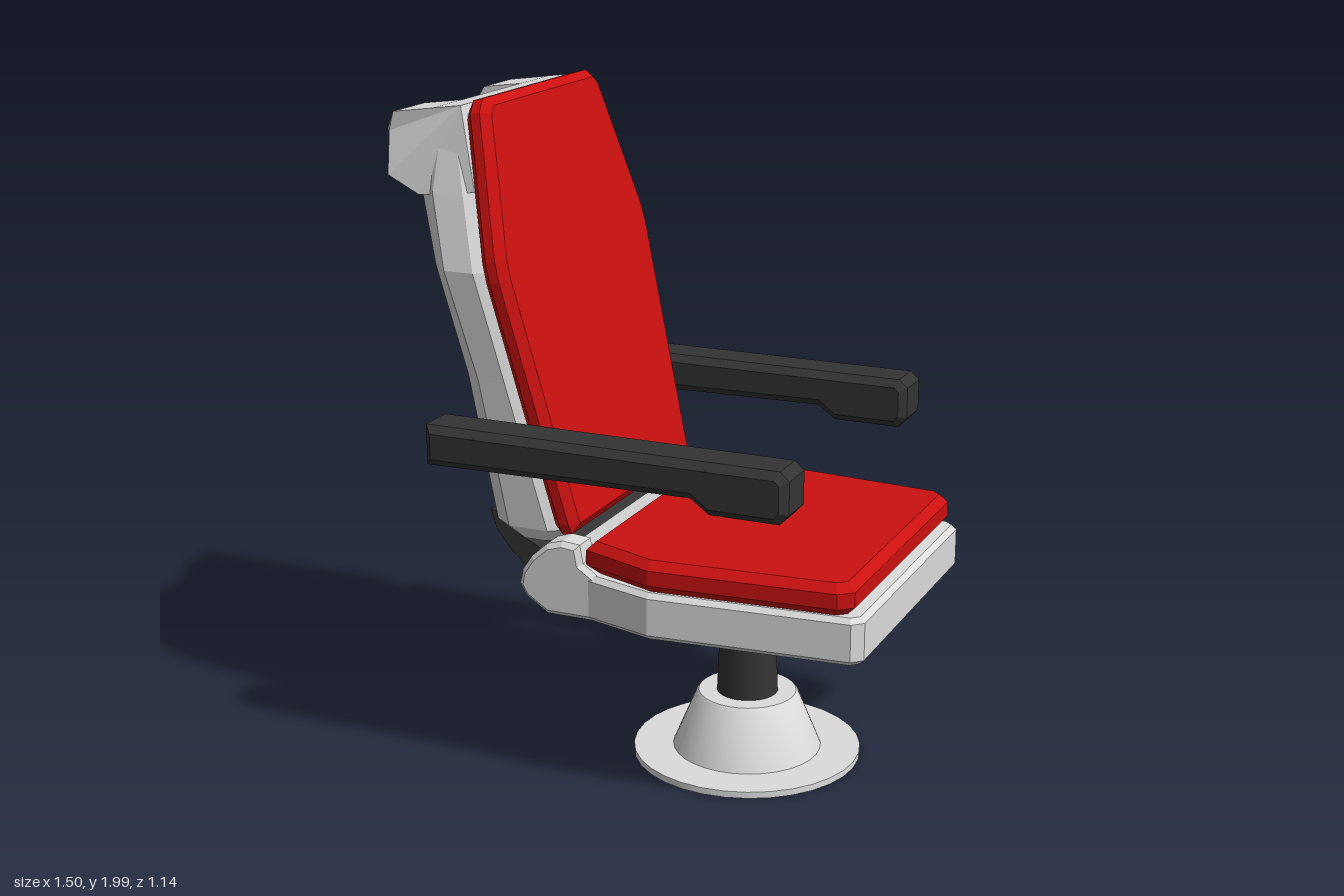
import * as THREE from 'three';
import { toCreasedNormals } from 'three/addons/utils/BufferGeometryUtils.js';

const mat = (name, color) => {
  const m = new THREE.MeshStandardMaterial({ color });
  m.name = name;
  return m;
};

// Extruded outline with a one-step chamfer that stays inside the outline, centred on its depth
function slab(points, depth, bevel) {
  const shape = new THREE.Shape(points.map(([x, y]) => new THREE.Vector2(x, y)));
  return new THREE.ExtrudeGeometry(shape, {
    depth: depth - 2 * bevel, bevelEnabled: bevel > 0, bevelThickness: bevel,
    bevelSize: bevel, bevelOffset: -bevel, bevelSegments: 1,
  }).translate(0, 0, bevel - depth / 2);
}

// Half outline [halfWidth, along] mirrored into a closed outline
const mirrored = (half) => [...half, ...half.slice().reverse().filter(([w]) => w > 0).map(([w, s]) => [-w, s])];

// Flat-faced solid through rings of [x, y, z] with equal point counts; ends closed with fans
function loft(rings) {
  const n = rings[0].length, tris = [];
  for (let r = 0; r < rings.length - 1; r++) {
    for (let i = 0; i < n; i++) {
      const j = (i + 1) % n, a = rings[r], b = rings[r + 1];
      tris.push([a[i], a[j], b[j]], [a[i], b[j], b[i]]);
    }
  }
  const end = rings[rings.length - 1];
  for (let i = 1; i < n - 1; i++) {
    tris.push([rings[0][0], rings[0][i + 1], rings[0][i]], [end[0], end[i], end[i + 1]]);
  }
  // Turn the corners around if the solid came out inside-out
  let volume = 0;
  for (const [a, b, c] of tris) {
    volume += new THREE.Vector3(...a).dot(new THREE.Vector3(...b).cross(new THREE.Vector3(...c)));
  }
  if (volume < 0) tris.forEach((t) => t.reverse());
  const g = new THREE.BufferGeometry();
  g.setAttribute('position', new THREE.Float32BufferAttribute(tris.flat(2), 3));
  g.computeVertexNormals();
  return g;
}

export function createModel() {
  const red = mat('red upholstery', 0xcc1010);
  const light = mat('light grey plastic', 0xdcdcdc);
  const dark = mat('dark grey plastic', 0x333333);
  const group = new THREE.Group();
  const add = (name, geometry, material) => {
    const m = new THREE.Mesh(geometry, material);
    m.name = name;
    group.add(m);
    return m;
  };
  const lathe = (pts, segments) => toCreasedNormals(
    new THREE.LatheGeometry(pts.map(([r, y]) => new THREE.Vector2(r, y)), segments), 0.5);

  // Pedestal: hollow cone with a thin flange, and a tapered post
  add('pedestalBase', lathe([[0.22, 0], [0.345, 0], [0.345, 0.02], [0.225, 0.02], [0.155, 0.19],
    [0.148, 0.198], [0.08, 0.198], [0.08, 0.185], [0.14, 0.185], [0.22, 0]], 32), light).position.x = 0.24;
  add('post', lathe([[0, 0.17], [0.094, 0.17], [0.08, 0.53], [0, 0.53]], 24), dark).position.x = 0.24;

  // Seat pan and cushion, widest a little behind the middle
  const pan = slab([[0.75, 0.42], [0.72, 0.45], [0.13, 0.5], [-0.1, 0.435], [-0.22, 0.425],
    [-0.22, -0.425], [-0.1, -0.435], [0.13, -0.5], [0.72, -0.45], [0.75, -0.42]], 0.14, 0.015);
  add('seatPan', pan.rotateX(-Math.PI / 2), light).position.set(0, 0.59, -0.01);
  const cushion = slab([[0.72, 0.42], [0.68, 0.455], [0.13, 0.5], [-0.1, 0.415],
    [-0.1, -0.415], [0.13, -0.5], [0.68, -0.455], [0.72, -0.42]], 0.095, 0.025);
  add('seatCushion', cushion.rotateX(-Math.PI / 2), red).position.set(0, 0.707, -0.01);

  // Rounded hinge lugs at both sides, with a lower bridge between them
  const lug = [[0.13, 0.52], [0.13, 0.655], [-0.06, 0.66], [-0.105, 0.69], [-0.115, 0.745], [-0.17, 0.75],
    [-0.22, 0.735], [-0.27, 0.69], [-0.3, 0.645], [-0.31, 0.6], [-0.29, 0.565], [-0.22, 0.52]];
  for (const side of [1, -1]) {
    add('hingeLug', slab(lug, 0.1, 0.015), light).position.z = side * 0.385 - 0.005;
  }
  add('hingeBridge', slab([[0, 0.53], [0, 0.66], [-0.1, 0.665], [-0.11, 0.72], [-0.18, 0.71],
    [-0.22, 0.66], [-0.22, 0.53]], 0.7, 0), light);

  // Backrest shell: leaning sections [y, front x, back x, half width, back half width]
  const shellRings = [
    [0.72, -0.22, -0.38, 0.36, 0.3],
    [0.76, -0.2, -0.42, 0.385, 0.34],
    [1.2, -0.31, -0.49, 0.42, 0.37],
    [1.52, -0.388, -0.575, 0.45, 0.39],
    [1.73, -0.438, -0.63, 0.405, 0.36],
    [1.95, -0.492, -0.62, 0.35, 0.32],
  ].map(([y, xf, xb, w, wb]) => {
    const half = [[xf, w - 0.025], [xf - 0.035, w], [xb + 0.06, w], [xb, wb], [xb, 0.13], [xb + 0.025, 0.11]];
    return [[xf, y, 0], ...half.map(([x, z]) => [x, y, z]),
      ...half.slice().reverse().map(([x, z]) => [x, y, -z])];
  });
  add('backShell', loft(shellRings), light);

  // Head block with a grip recess in the middle of its rear edge
  const full = [[-0.5, 1.975], [-0.59, 1.963], [-0.6, 1.961], [-0.72, 1.945], [-0.755, 1.89],
    [-0.72, 1.77], [-0.62, 1.72], [-0.44, 1.74]];
  const recess = (lip, rear) => [full[0], full[1], [-0.6, 1.9], [lip, 1.895], [rear, 1.85], [-0.7, 1.77], full[6], full[7]];
  const at = (profile, z) => profile.map(([x, y]) => [x, y, z]);
  const outer = (s) => full.map(([x, y], i) => [i === 4 ? x + 0.02 : x, y, s * (i < 5 ? 0.355 : 0.395)]);
  add('headBlock', loft([outer(1), at(full, 0.33), at(full, 0.18), at(recess(-0.71, -0.715), 0.178),
    at(recess(-0.665, -0.71), 0), at(recess(-0.71, -0.715), -0.178), at(full, -0.18), at(full, -0.33), outer(-1)]), light);

  // Leaning backrest cushion
  const back = slab(mirrored([[0.4, 0], [0.41, 0.03], [0.472, 0.76], [0.468, 0.82], [0.36, 1.225], [0.325, 1.26]]), 0.08, 0.025);
  back.translate(0, 0, 0.04).rotateY(Math.PI / 2).rotateZ(0.24);
  add('backCushion', back, red).position.set(-0.2, 0.757, 0);

  // Two-pronged support on the back and the knuckle joining it to the seat
  const support = slab(mirrored([[0.24, 0], [0.21, 0.2], [0.2, 0.46], [0.18, 0.49], [0.12, 0.49], [0.1, 0.46], [0.08, 0.36]]), 0.06, 0.01);
  support.translate(0, 0, 0.03).rotateY(Math.PI / 2).rotateZ(0.195);
  add('backSupport', support, dark).position.set(-0.45, 0.745, 0);
  add('supportKnuckle', slab([[-0.45, 0.78], [-0.38, 0.78], [-0.34, 0.71], [-0.2, 0.64], [-0.2, 0.56],
    [-0.28, 0.57], [-0.31, 0.6], [-0.38, 0.66], [-0.43, 0.72]], 0.66, 0), dark);

  // Armrests with a deeper grip at the front
  const arm = [[-0.53, 0.975], [0.29, 0.985], [0.345, 0.945], [0.55, 0.945], [0.577, 0.975],
    [0.577, 1.07], [0.55, 1.095], [-0.53, 1.095]];
  for (const side of [1, -1]) {
    add(side > 0 ? 'armrestLeft' : 'armrestRight', slab(arm, 0.155, 0.022), dark).position.z = side * 0.495;
  }
  return group;
}
